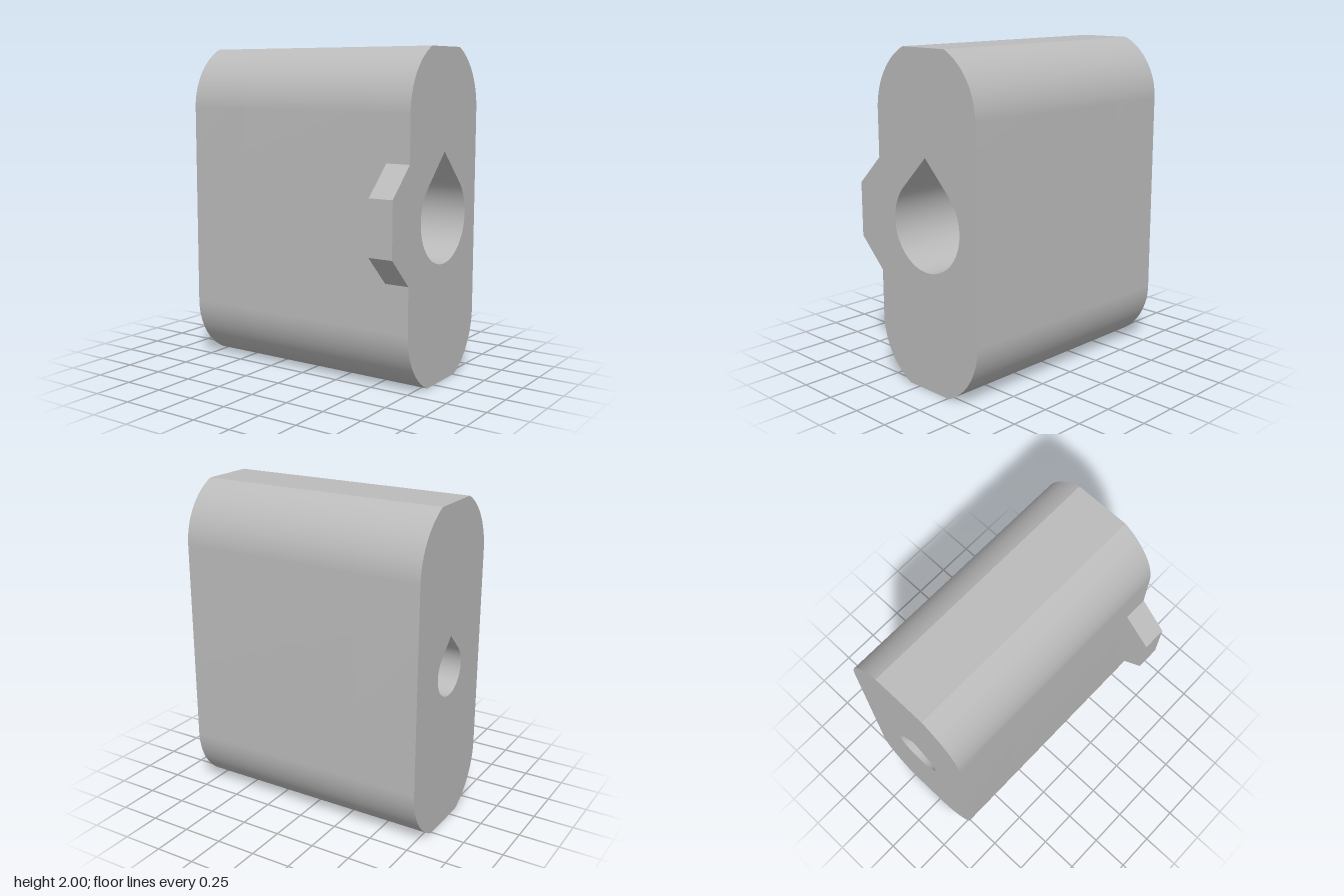
import * as THREE from 'three';
import { toCreasedNormals } from 'three/addons/utils/BufferGeometryUtils.js';

const R = 0.41;          // corner radius = half the body depth
const FLAT = 0.17;       // half width of the flat top and bottom
const CX = 0.09;         // profile centre (profile x runs along -z)
const X0 = -0.787, X1 = 0.787, STEP = -0.38, TAB_X = 0.635;

// Upright slot outline with its rounded ends cut flat
function bodyShape() {
  const a = Math.acos(FLAT / R);
  const top = 2 - Math.sqrt(R * R - FLAT * FLAT);
  const bottom = 2 - top;
  const s = new THREE.Shape();
  s.absarc(CX, top, R, 0, a, false);
  s.absarc(CX, top, R, Math.PI - a, Math.PI, false);
  s.absarc(CX, bottom, R, Math.PI, Math.PI + a, false);
  s.absarc(CX, bottom, R, -a, 0, false);
  s.closePath();
  return s;
}

// Round hole with a 45 degree pointed roof
function teardrop(r) {
  const p = new THREE.Path();
  p.absarc(CX, 1, r, Math.PI / 4, Math.PI * 3 / 4, true);
  p.lineTo(CX, 1 + r * Math.SQRT2);
  p.closePath();
  return p;
}

// Extrude a profile along x between two stations
function extrudeX(shape, from, to) {
  const g = new THREE.ExtrudeGeometry(shape, { depth: to - from, bevelEnabled: false, curveSegments: 24 });
  g.rotateY(Math.PI / 2);
  g.translate(from, 0, 0);
  return toCreasedNormals(g, 0.3);
}

export function createModel() {
  const group = new THREE.Group();
  const grey = new THREE.MeshStandardMaterial({ color: 0xbbbbbb });
  grey.name = 'greyPlastic';

  const add = (name, shape, from, to) => {
    const mesh = new THREE.Mesh(extrudeX(shape, from, to), grey);
    mesh.name = name;
    group.add(mesh);
  };

  // Body: narrow bore at one end, wide counterbore at the other
  const narrow = bodyShape();
  narrow.holes.push(teardrop(0.154));
  add('narrowBoreBody', narrow, X0, STEP);

  const wide = bodyShape();
  wide.holes.push(teardrop(0.277));
  add('counterboreBody', wide, STEP, X1);

  // Locating tab on the front face
  const tab = new THREE.Shape([
    [-0.32, 0.657], [-0.32, 1.345], [-0.503, 1.168], [-0.503, 0.836],
  ].map(([x, y]) => new THREE.Vector2(x, y)));
  add('locatingTab', tab, TAB_X, X1);

  return group;
}
